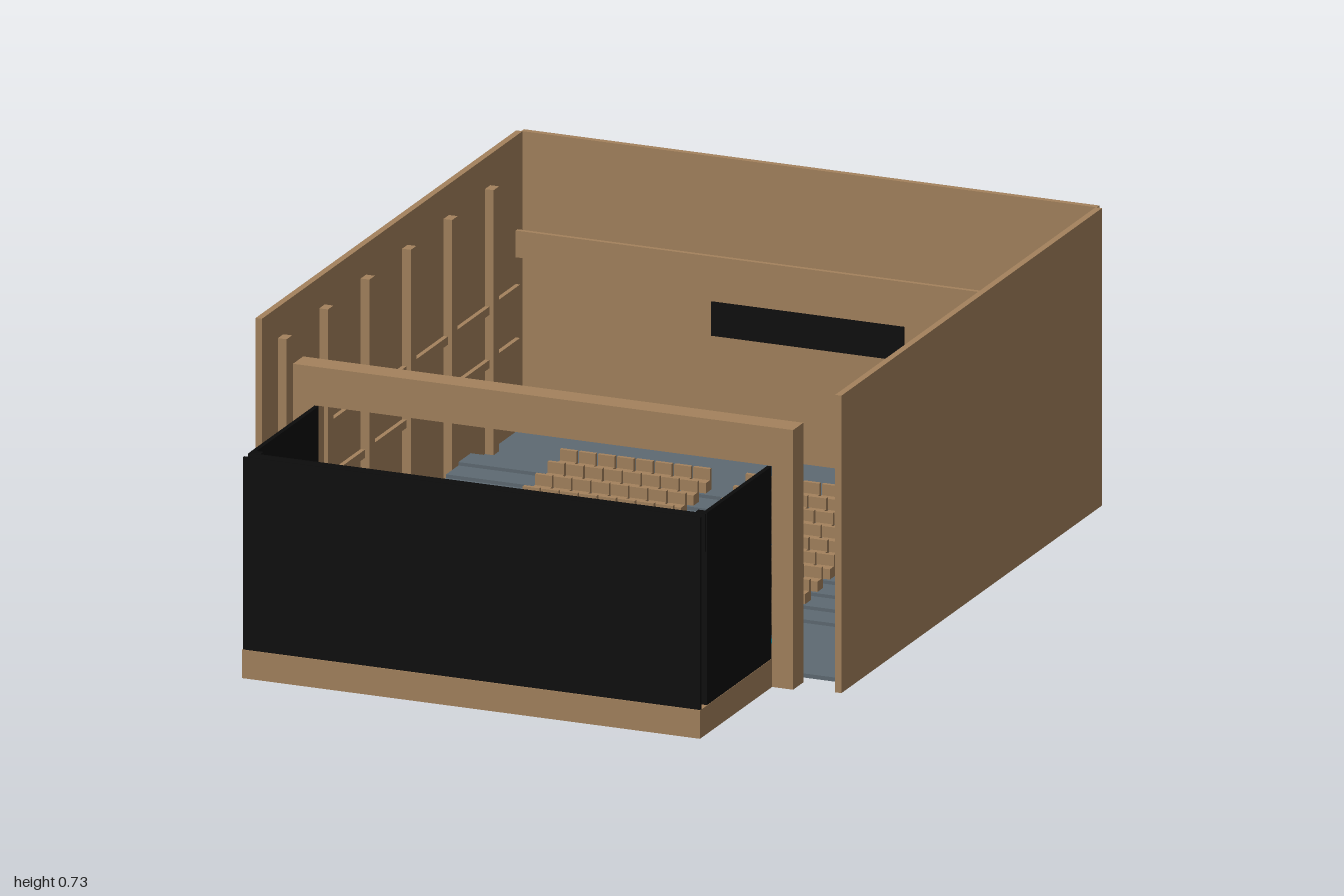
import * as THREE from 'three';

const mat = (name, color) => {
  const m = new THREE.MeshStandardMaterial({ color });
  m.name = name;
  return m;
};

export function createModel() {
  const model = new THREE.Group();
  model.name = 'auditorium';
  const wood = mat('wood', 0xa4825d);
  const slate = mat('slate floor', 0x5e6a72);
  const black = mat('black drape', 0x0b0b0b);
  const cyan = mat('cyan light', 0x10c0d2);
  const pale = mat('pale screen', 0xc9c8c2);

  // Box given by its min and max on each axis
  function block(name, material, x0, x1, y0, y1, z0, z1, parent = model) {
    const mesh = new THREE.Mesh(new THREE.BoxGeometry(x1 - x0, y1 - y0, z1 - z0), material);
    mesh.position.set((x0 + x1) / 2, (y0 + y1) / 2, (z0 + z1) / 2);
    mesh.name = name;
    parent.add(mesh);
    return mesh;
  }
  // The same box on both sides of the hall
  function pair(name, material, x0, x1, ...rest) {
    block(name + 'Left', material, x0, x1, ...rest);
    block(name + 'Right', material, -x1, -x0, ...rest);
  }

  // Hall shell
  block('floor', slate, -0.725, 0.725, 0, 0.01, -1, 0.455);
  block('backWall', wood, -0.725, 0.725, 0.01, 0.73, -1, -0.985);
  pair('sideWall', wood, 0.722, 0.738, 0.006, 0.73, -0.985, 0.545);
  block('backRail', wood, -0.722, 0.722, 0.435, 0.5, -0.956, -0.945);
  block('projectionWindow', black, -0.245, 0.24, 0.295, 0.377, -0.985, -0.979);

  // Wall pilasters and rails
  for (let i = 0; i < 6; i++) {
    const z = -0.78 + i * 0.243;
    pair('pilaster', wood, 0.7, 0.722, 0.01, 0.655, z - 0.016, z + 0.016);
  }
  for (const y of [0.23, 0.36]) {
    pair('wallRail', wood, 0.711, 0.722, y - 0.01, y + 0.01, -0.945, 0.45);
  }

  // Raked seating tiers, highest at the back
  const pitch = 0.0725, tiers = 9, rise = 0.0083, tierBack = -0.546;
  for (let i = 0; i < tiers; i++) {
    const z = tierBack + i * pitch;
    block('seatingTier', slate, -0.664, 0.664, 0.01, 0.01 + rise * (tiers - i), z, z + pitch);
  }

  // Seats: twelve rows in two banks of eight
  const seats = new THREE.Group();
  seats.name = 'seats';
  model.add(seats);
  for (let row = 0; row < 12; row++) {
    const y = 0.01 + rise * Math.max(0, tiers - row);
    const z = -0.5 + row * pitch;
    for (const side of [-1, 1]) {
      for (let i = 0; i < 8; i++) {
        const x = side * (0.066 + i * 0.048);
        block('seatBase', wood, x - 0.021, x + 0.021, y, y + 0.025, z - 0.007, z + 0.017, seats);
        block('seatBack', wood, x - 0.021, x + 0.021, y, y + 0.052, z - 0.017, z - 0.007, seats);
      }
    }
  }

  // Stage with its lit edge and steps
  block('stage', wood, -0.577, 0.577, 0.01, 0.079, 0.458, 1);
  block('stageEdgeLight', cyan, -0.577, 0.577, 0.07, 0.083, 0.45, 0.474);
  for (let i = 0; i < 5; i++) {
    block('stageStep', wood, -0.56, -0.485, 0.01, 0.01 + 0.0135 * (i + 1), 0.345 + i * 0.021, 0.366 + i * 0.021);
  }

  // Proscenium arch
  const arch = new THREE.Shape();
  [[-0.63, 0.01], [-0.577, 0.01], [-0.577, 0.548], [0.577, 0.548], [0.577, 0.01], [0.63, 0.01], [0.63, 0.642], [-0.63, 0.642]]
    .forEach(([x, y], i) => (i ? arch.lineTo(x, y) : arch.moveTo(x, y)));
  const proscenium = new THREE.Mesh(
    new THREE.ExtrudeGeometry(arch, { depth: 0.06, bevelEnabled: false }), wood);
  proscenium.position.z = 0.517;
  proscenium.name = 'proscenium';
  model.add(proscenium);

  // Drapes and screen
  pair('sideDrape', black, 0.565, 0.576, 0.079, 0.547, 0.577, 0.957);
  pair('drapeLeg', black, 0.548, 0.565, 0.079, 0.547, 0.942, 0.957);
  block('backDrape', black, -0.576, 0.576, 0.079, 0.547, 0.989, 0.997);
  block('borderDrape', black, -0.576, 0.576, 0.455, 0.547, 0.961, 0.968);
  block('screen', pale, -0.46, 0.46, 0.085, 0.455, 0.946, 0.952);
  block('screenBack', black, -0.46, 0.46, 0.085, 0.455, 0.952, 0.955);

  return model;
}
